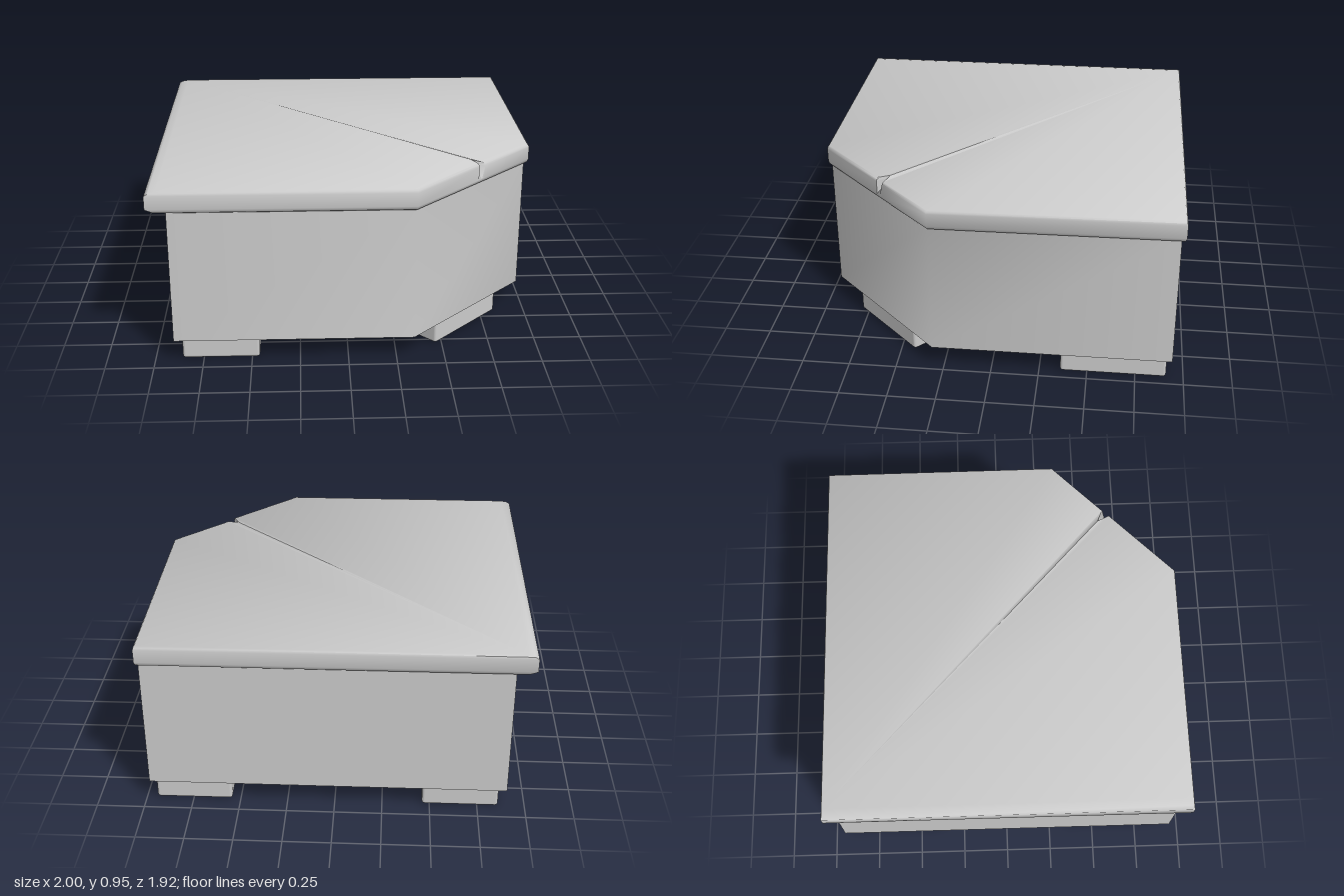
import * as THREE from 'three';
import { toCreasedNormals } from 'three/addons/utils/BufferGeometryUtils.js';
import { RoundedBoxGeometry } from 'three/addons/geometries/RoundedBoxGeometry.js';

const material = new THREE.MeshStandardMaterial({ color: 0xcccccc });

// Skin a stack of rings (bottom to top, counterclockwise from above), fan-capped from corner 0.
function loft(rings, crease) {
  const n = rings[0].length;
  const index = [];
  for (let r = 0; r < rings.length - 1; r++) {
    for (let i = 0; i < n; i++) {
      const j = (i + 1) % n;
      const a = r * n + i, b = r * n + j;
      index.push(a, b, b + n, a, b + n, a + n);
    }
  }
  const top = (rings.length - 1) * n;
  for (let i = 1; i < n - 1; i++) {
    index.push(0, i + 1, i);
    index.push(top, top + i, top + i + 1);
  }
  const geometry = new THREE.BufferGeometry();
  geometry.setAttribute('position', new THREE.Float32BufferAttribute(rings.flat(2), 3));
  geometry.setIndex(index);
  return toCreasedNormals(geometry, crease);
}

// One ring of the lid: left edge at x, the other edges inset by d.
// The middle of the cut corner can be split by a small notch; sag lowers the right part.
function lidRing(y, x, d, notched, sag) {
  const k = d * 0.4, c = d * 0.7;
  const m = notched ? [0.65, 0.55] : [0.705 - c, 0.6 - c];
  return [
    [x, y, -0.96 + d],
    [x, y, 0.96 - d],
    [0.34 - k, y, 0.96 - d],
    [0.687 - c, y, 0.618 - c],
    [m[0], y, m[1]],
    [0.722 - c, y - sag, 0.584 - c],
    [1 - d, y - sag, 0.31 - k],
    [0.99 - d, y, -0.96 + d],
  ];
}

export function createModel() {
  const group = new THREE.Group();
  const add = (name, geometry) => {
    const mesh = new THREE.Mesh(geometry, material);
    mesh.name = name;
    group.add(mesh);
    return mesh;
  };

  // Body: square block with its front left corner cut off
  const outline = [[-0.9, -0.937], [-0.9, 0.94], [0.34, 0.94], [0.975, 0.31], [0.975, -0.937]];
  add('body', loft([0.12, 0.84].map((y) => outline.map(([x, z]) => [x, y, z])), 0.9));

  // Lid: rolled overhang on one side, nearly flush elsewhere
  add('lid', loft([
    lidRing(0.83, -0.89, 0.028, false, 0),
    lidRing(0.842, -0.96, 0.006, false, 0),
    lidRing(0.86, -1, 0, false, 0),
    lidRing(0.93, -1, 0, true, 0.004),
    lidRing(0.942, -0.98, 0.003, true, 0.007),
    lidRing(0.95, -0.945, 0.01, true, 0.008),
  ], 1.25));

  // Feet: three square to the body, one along the cut corner
  const feet = [
    ['backRightFoot', -0.66, -0.635, 0],
    ['backLeftFoot', 0.745, -0.635, 0],
    ['frontRightFoot', -0.66, 0.63, 0],
    ['frontLeftFoot', 0.51, 0.47, -Math.PI / 4],
  ];
  for (const [name, x, z, turn] of feet) {
    const foot = add(name, new RoundedBoxGeometry(0.4, 0.14, turn ? 0.52 : 0.55, 2, 0.015));
    foot.position.set(x, 0.07, z);
    foot.rotation.y = turn;
  }
  return group;
}
